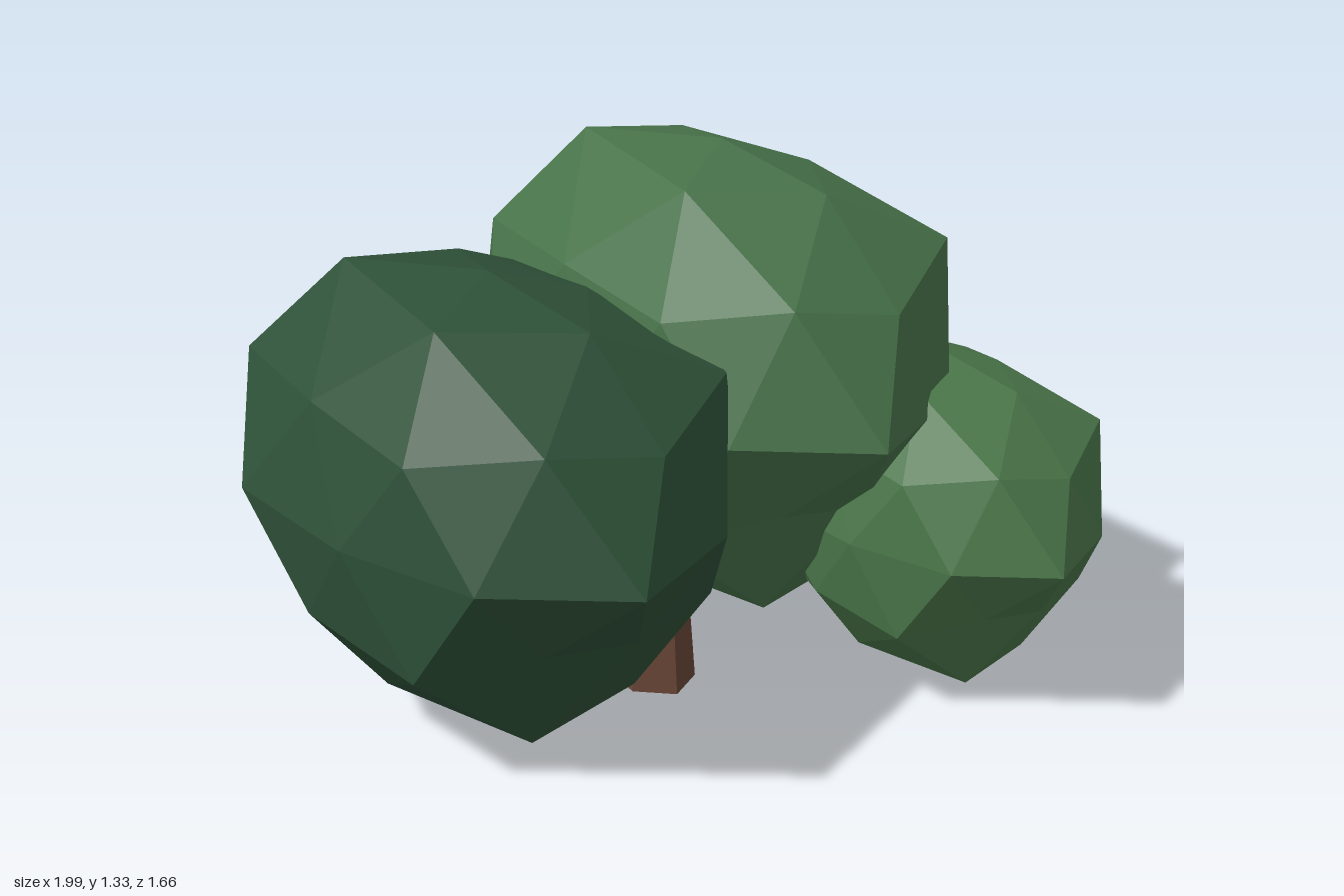
import * as THREE from 'three';

// Latitude bands of a once-divided icosphere: height, first azimuth (degrees
// from +z towards +x), and the bulge of each vertex around the band.
const BANDS = [
  { y: 0.851, start: 18, bulge: [0.97, 0.9, 0.95, 1.09, 1.02] },
  { y: 0.447, start: 18, bulge: [0.96, 0.88, 1.0, 1.1, 0.97] },
  { y: 0.526, start: 54, bulge: [1.1, 1.09, 1.0, 0.96, 0.99] },
  { y: 0, start: 0, bulge: [1.07, 0.98, 0.92, 1.0, 0.88, 0.945, 1.1, 1.04, 0.92, 0.98] },
  { y: -0.526, start: 18, bulge: [0.86, 1.0, 0.95, 0.98, 1.0] },
  { y: -0.447, start: 54, bulge: [0.98, 1.0, 1.06, 0.98, 0.86] },
  { y: -0.851, start: 54, bulge: [1.08, 1.06, 0.92, 1.01, 1.07] },
];

// Lumpy faceted ball shared by all leaf clumps
function lumpGeometry() {
  const rings = BANDS.map(({ y, start, bulge }) => bulge.map((f, i) => {
    const az = THREE.MathUtils.degToRad(start + (360 / bulge.length) * i);
    const r = Math.sqrt(1 - y * y);
    return new THREE.Vector3(Math.sin(az) * r, y, Math.cos(az) * r).multiplyScalar(f);
  }));
  const top = new THREE.Vector3(0, 0.925, 0);
  const bottom = new THREE.Vector3(0, -1.05, 0);
  const at = (ring, i) => rings[ring][i % rings[ring].length];
  const points = [];
  const tri = (...corners) => points.push(...corners);

  for (let k = 0; k < 5; k++) {
    const U = at(0, k), U2 = at(0, k + 1);
    const V = at(1, k), V2 = at(1, k + 1);
    const R = at(2, k);
    const e1 = at(3, 2 * k + 1), e2 = at(3, 2 * k + 2), e3 = at(3, 2 * k + 3);
    const r = at(4, k + 1);
    const v = at(5, k), v2 = at(5, k + 1);
    const u = at(6, k), u2 = at(6, k + 1);
    // Cap
    tri(top, U, U2);
    tri(U, V, R);
    tri(U, R, U2);
    tri(U2, R, V2);
    // Waist
    tri(V, e1, R);
    tri(R, e1, e2);
    tri(R, e2, V2);
    tri(e1, v, e2);
    tri(V2, e2, e3);
    tri(e2, v, r);
    tri(e2, r, e3);
    tri(e3, r, v2);
    // Underside
    tri(v, u, r);
    tri(u, u2, r);
    tri(r, u2, v2);
    tri(bottom, u2, u);
  }
  const geometry = new THREE.BufferGeometry().setFromPoints(points);
  geometry.computeVertexNormals(); // unshared corners give flat facets
  return geometry;
}

function material(name, color) {
  const m = new THREE.MeshStandardMaterial({ color, flatShading: true });
  m.name = name;
  return m;
}

export function createModel() {
  const tree = new THREE.Group();
  tree.name = 'tree';

  // Leaf clumps
  const lump = lumpGeometry();
  const clumps = [
    ['rightClump', material('dark green', 0x2f5239), [-0.44, 0.62, -0.04], [0.56, 0.571, 0.72]],
    ['tallClump', material('mid green', 0x48734a), [0.26, 0.78, -0.15], [0.54, 0.6, 0.72]],
    ['smallClump', material('light green', 0x4b774a), [0.63, 0.46, 0.28], [0.388, 0.43, 0.514]],
  ];
  for (const [name, mat, position, scale] of clumps) {
    const mesh = new THREE.Mesh(lump, mat);
    mesh.name = name;
    mesh.position.set(...position);
    mesh.scale.set(...scale);
    tree.add(mesh);
  }

  // Six-sided tapering trunk, deeper than wide
  const trunk = new THREE.Mesh(
    new THREE.CylinderGeometry(0.065, 0.104, 0.6, 6),
    material('bark brown', 0x694638)
  );
  trunk.name = 'trunk';
  trunk.position.set(-0.05, 0.32, 0.045);
  trunk.scale.z = 1.3;
  tree.add(trunk);

  return tree;
}
